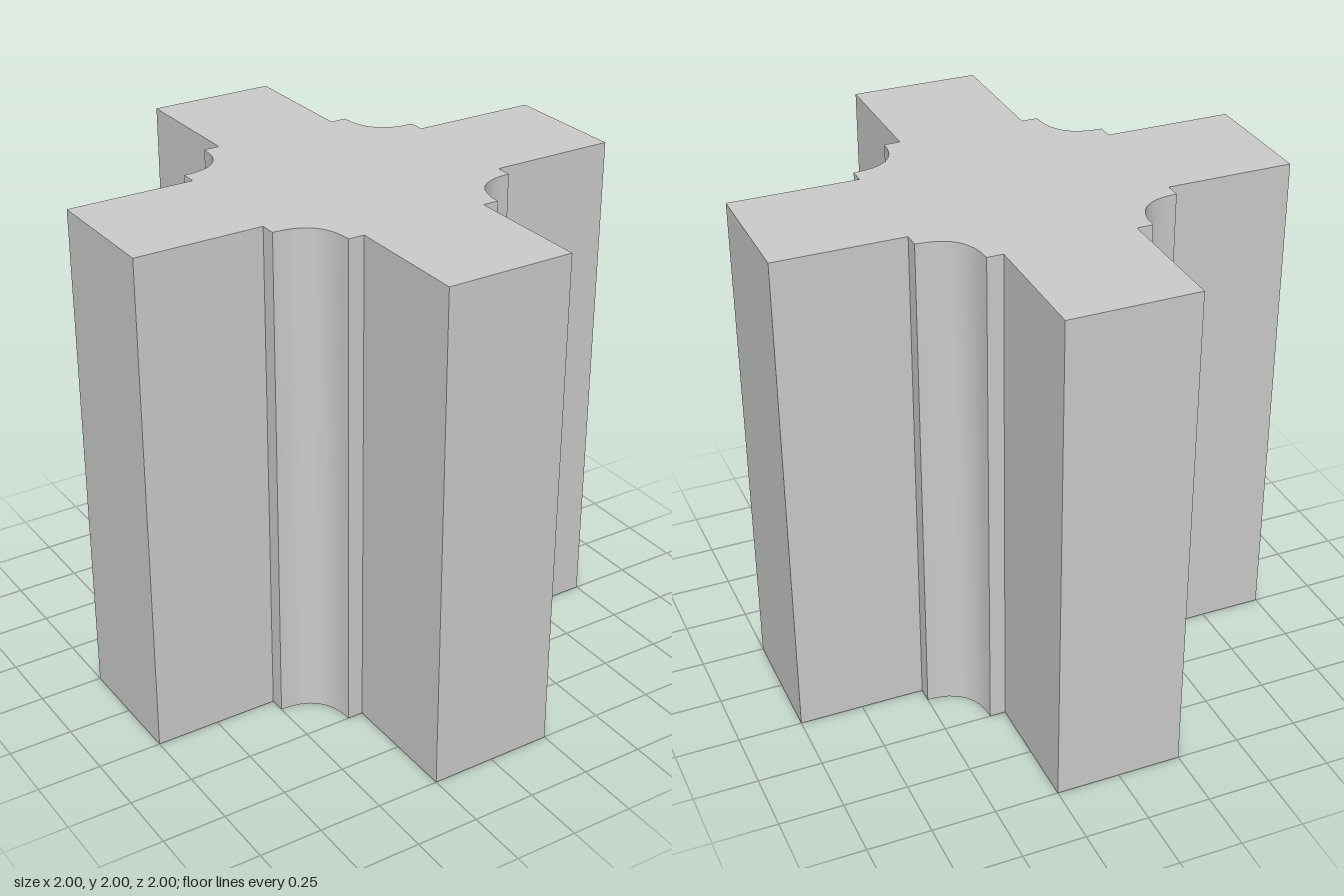
import * as THREE from 'three';
import { toCreasedNormals } from 'three/addons/utils/BufferGeometryUtils.js';

const HEIGHT = 2;
const ARM = 0.25;      // half width of each arm
const STEP = 0.5;      // where the corner fillet block ends
const COVE = 0.3125;   // innermost face of the cove

// Cross-shaped plan: one quarter, turned four times about the centre
function crossShape() {
  const shape = new THREE.Shape();
  for (let i = 0; i < 4; i++) {
    const c = [1, 0, -1, 0][i], s = [0, 1, 0, -1][i];
    const turn = (x, y) => [c * x - s * y, s * x + c * y];
    if (i === 0) shape.moveTo(...turn(1, -ARM));
    shape.lineTo(...turn(1, ARM));
    shape.lineTo(...turn(STEP, ARM));
    shape.lineTo(...turn(STEP, COVE));
    shape.quadraticCurveTo(...turn(COVE, COVE), ...turn(COVE, STEP));
    shape.lineTo(...turn(ARM, STEP));
    shape.lineTo(...turn(ARM, 1));
  }
  return shape;
}

export function createModel() {
  const group = new THREE.Group();
  group.name = 'crossPillar';

  // Plan extruded upright, with smooth coves and sharp corners
  const extruded = new THREE.ExtrudeGeometry(crossShape(), {
    depth: HEIGHT, bevelEnabled: false, curveSegments: 8,
  });
  extruded.rotateX(-Math.PI / 2);
  const pillar = new THREE.Mesh(
    toCreasedNormals(extruded, Math.PI / 6),
    new THREE.MeshStandardMaterial({ color: 0xcccccc }),
  );
  pillar.name = 'pillar';
  group.add(pillar);
  return group;
}
